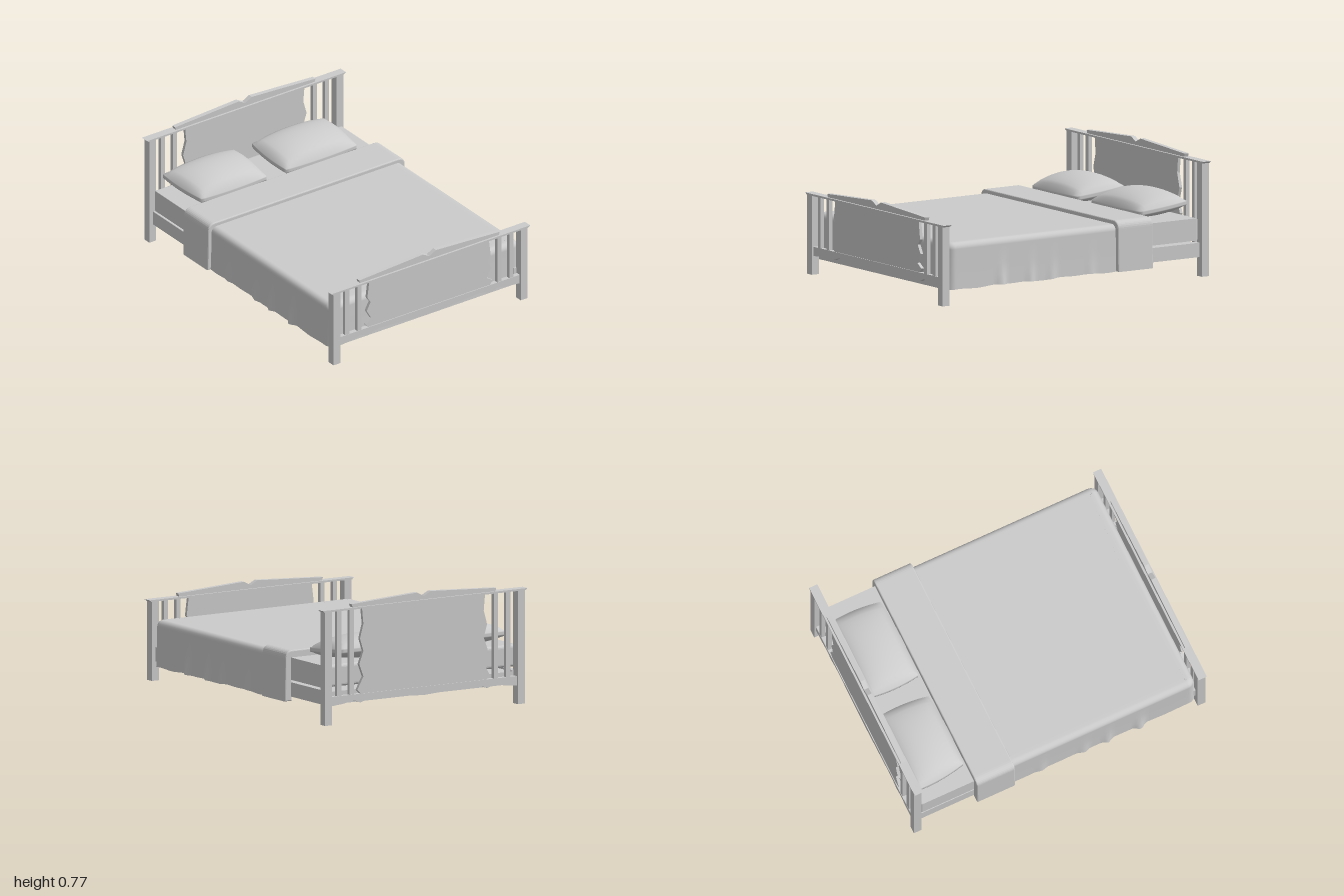
import * as THREE from 'three';
import { mergeVertices } from 'three/addons/utils/BufferGeometryUtils.js';

const mat = new THREE.MeshStandardMaterial({ color: 0xcccccc });
const cloth = new THREE.MeshStandardMaterial({ color: 0xcccccc, side: THREE.DoubleSide });

function add(parent, name, geo, x = 0, y = 0, z = 0, material = mat) {
  const m = new THREE.Mesh(geo, material);
  m.name = name;
  m.position.set(x, y, z);
  parent.add(m);
  return m;
}

// Box given by its lower and upper corner
function box(parent, name, x0, x1, y0, y1, z0, z1) {
  return add(parent, name, new THREE.BoxGeometry(x1 - x0, y1 - y0, z1 - z0),
    (x0 + x1) / 2, (y0 + y1) / 2, (z0 + z1) / 2);
}

// Plate symmetric in x from a right-hand half outline, extruded around z = 0
function plate(parent, name, half, depth) {
  const pts = [...half, ...half.map(([x, y]) => [-x, y]).reverse()];
  const shape = new THREE.Shape(pts.map(([x, y]) => new THREE.Vector2(x, y)));
  const geo = new THREE.ExtrudeGeometry(shape, { depth, bevelEnabled: false });
  geo.translate(0, 0, -depth / 2);
  return add(parent, name, geo);
}

// Headboard or footboard: posts, slats, wavy panel, rails and crest
function board(name, top, edge) {
  const g = new THREE.Group();
  g.name = name;
  for (const s of [-1, 1]) {
    add(g, 'post', new THREE.BoxGeometry(0.052, top, 0.052), s * 0.713, top / 2, 0);
    for (const x of [0.625, 0.533]) {
      add(g, 'slat', new THREE.BoxGeometry(0.031, top - 0.17, 0.026), s * x, (top + 0.17) / 2, 0);
    }
  }
  plate(g, 'panel', [[0.45, 0.16], ...edge, [0.455, top]], 0.02);
  // lower rail with a shaped underside
  plate(g, 'lowerRail', [[0, 0.122], [0.38, 0.145], [0.43, 0.135], [0.47, 0.12], [0.52, 0.14],
    [0.6, 0.124], [0.69, 0.116], [0.69, 0.175]], 0.03);
  // flared cap and notched crest
  plate(g, 'cap', [[0.742, top], [0.757, top + 0.012]], 0.056);
  plate(g, 'crest', [[0.527, top + 0.01], [0.535, top + 0.032], [0.05, top + 0.059], [0, top + 0.033]], 0.03);
  return g;
}

// Blanket: rings around a U-shaped plan, from the hem up over the rounded edge
function blanketGeometry() {
  const W = 0.725, head = -0.5, foot = 0.94, R = 0.05, N = 72;
  const flares = [[0.55, 0.03], [0.33, 0.02], [0.17, 0.016], [-0.12, 0.012]];
  const flare = z => flares.reduce((s, [c, a]) => s + a * Math.max(0, 1 - Math.abs(z - c) / 0.042), 0);
  const half = []; // x, z, outward normal, flare amount, hem height
  for (let i = 0; i <= N; i++) {
    const z = head + (foot - R - head) * i / N;
    half.push([W, z, 1, 0, flare(z), 0.095 + 0.005 * Math.sin(z * 19) * Math.sin(z * 7)]);
  }
  for (let i = 1; i <= 8; i++) {
    const a = i / 8 * Math.PI / 2;
    half.push([W - R + R * Math.cos(a), foot - R + R * Math.sin(a), Math.cos(a), Math.sin(a), 0, 0.094]);
  }
  const plan = [...half, ...half.map(([x, z, nx, nz, f, h]) => [-x, z, -nx, nz, f, h]).reverse()];
  // inset, height above hem, share of the flare
  const rows = [[-0.006, 0, 1], [-0.004, 0.06, 0.5], [-0.001, 0.14, 0]];
  for (let i = 0; i <= 6; i++) {
    const a = i / 6 * Math.PI / 2;
    rows.push([0.04 * (1 - Math.cos(a)), 0.345 + 0.04 * Math.sin(a), -1]);
  }
  rows.push([0.06, 0.385, -1], [null, 0.385, -1]);
  const pos = [], idx = [], n = plan.length;
  for (const [inset, y, share] of rows) {
    for (const [x, z, nx, nz, f, hem] of plan) {
      if (inset === null) pos.push(0, y, Math.min(z, foot - 0.1));
      else {
        const d = inset - f * Math.max(share, 0);
        pos.push(x - nx * d, share < 0 ? y : hem + y, z - nz * d);
      }
    }
  }
  for (let r = 0; r < rows.length - 1; r++) {
    for (let c = 0; c < n - 1; c++) {
      const a = r * n + c, b = a + 1, d = a + n, e = d + 1;
      idx.push(a, d, b, b, d, e);
    }
  }
  const geo = new THREE.BufferGeometry();
  geo.setAttribute('position', new THREE.Float32BufferAttribute(pos, 3));
  geo.setIndex(idx);
  geo.computeVertexNormals();
  return geo;
}

// Turned-down sheet: rounded arch across the bed
function foldGeometry() {
  const o = 0.742, i = 0.71, b = 0.1, t = 0.402, r = 0.045;
  const s = new THREE.Shape();
  s.moveTo(o + 0.004, b);
  s.lineTo(o, t - r);
  s.quadraticCurveTo(o, t, o - r, t);
  s.lineTo(-o + r, t);
  s.quadraticCurveTo(-o, t, -o, t - r);
  s.lineTo(-o - 0.004, b);
  s.lineTo(-i, b);
  s.lineTo(-i, 0.36);
  s.lineTo(i, 0.36);
  s.lineTo(i, b);
  return new THREE.ExtrudeGeometry(s, {
    depth: 0.246, bevelThickness: 0.008, bevelSize: 0.008, bevelSegments: 3, curveSegments: 8
  });
}

// Pillow: a box swollen in the middle, thin at the rim; skew widens one back corner
function pillowGeometry(w, d, skew) {
  let geo = new THREE.BoxGeometry(2, 2, 2, 20, 4, 16);
  geo.deleteAttribute('normal');
  geo.deleteAttribute('uv');
  geo = mergeVertices(geo);
  const p = geo.attributes.position;
  for (let k = 0; k < p.count; k++) {
    const u = p.getX(k), v = p.getZ(k), h = p.getY(k);
    const swell = Math.pow((1 - u * u) * (1 - v * v), 0.5);
    const x = u * (1 - 0.05 * v * v) * w / 2 + skew * (u < 0 ? -u : 0) * (v + 1) / 2;
    const z = v * (1 - 0.07 * u * u) * d / 2;
    const y = h * (0.014 + (h > 0 ? 0.076 : 0.05) * swell) - 0.018 * v;
    p.setXYZ(k, x, y, z);
  }
  geo.computeVertexNormals();
  return geo;
}

export function createModel() {
  const bed = new THREE.Group();
  bed.name = 'bed';

  // Headboard and footboard
  const headboard = board('headboard', 0.71, [[0.49, 0.2], [0.445, 0.28], [0.475, 0.36],
    [0.445, 0.44], [0.47, 0.52], [0.445, 0.61]]);
  headboard.position.z = -0.971;
  const footboard = board('footboard', 0.495, [[0.465, 0.175], [0.485, 0.2], [0.44, 0.23],
    [0.475, 0.29], [0.445, 0.345], [0.47, 0.38]]);
  footboard.position.z = 0.971;
  bed.add(headboard, footboard);

  // Frame
  for (const s of [-1, 1]) {
    const rail = box(bed, 'sideRail', -0.02, 0.02, 0.12, 0.21, -0.95, 0.95);
    rail.position.x = s * 0.69;
  }
  box(bed, 'base', -0.67, 0.67, 0.121, 0.2, -0.95, 0.93);

  // Mattress with rounded upper and lower edges
  const w = 0.69, m = new THREE.Shape();
  m.moveTo(-w, 0.245);
  m.lineTo(w, 0.245);
  m.lineTo(w, 0.345);
  m.lineTo(-w, 0.345);
  add(bed, 'mattress', new THREE.ExtrudeGeometry(m, {
    depth: 1.8, bevelThickness: 0.02, bevelSize: 0.02, bevelSegments: 4
  }), 0, 0, -0.92);

  // Bedding
  add(bed, 'blanket', blanketGeometry(), 0, 0, 0, cloth);
  add(bed, 'foldedSheet', foldGeometry(), 0, 0, -0.563);
  add(bed, 'rightPillow', pillowGeometry(0.565, 0.37, 0.045), -0.372, 0.425, -0.763);
  add(bed, 'leftPillow', pillowGeometry(0.575, 0.37, 0.012), 0.31, 0.425, -0.763);
  return bed;
}
